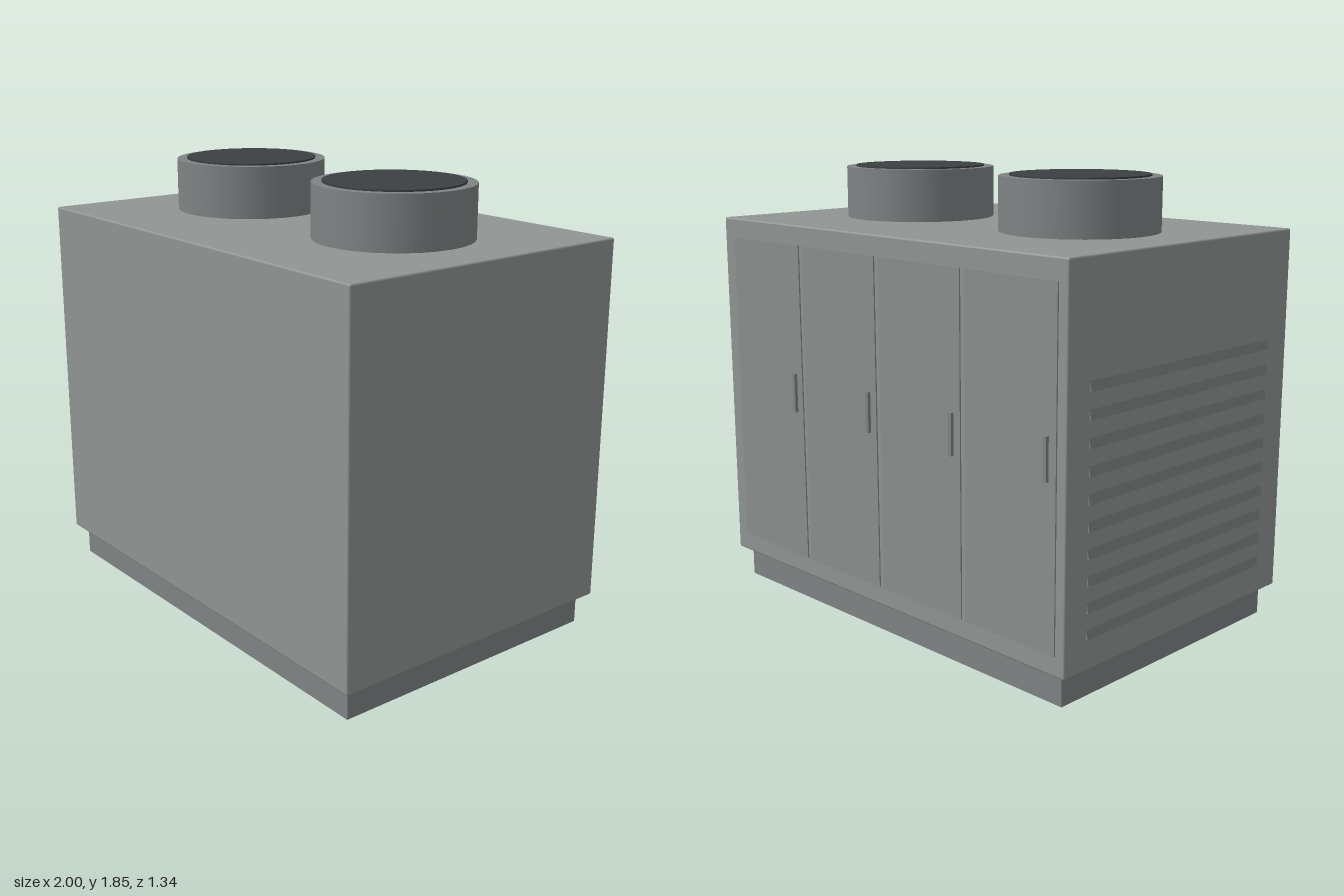
import * as THREE from 'three';
import { RoundedBoxGeometry } from 'three/addons/geometries/RoundedBoxGeometry.js';

export function createModel() {
  const model = new THREE.Group();
  model.name = 'ventilationCabinet';

  const paint = (color) => new THREE.MeshStandardMaterial({ color });
  const bodyPaint = paint(0x909594);
  const doorPaint = paint(0x8a8f8e);
  const trimPaint = paint(0x7f8484);
  const darkPaint = paint(0x3c4042);

  const add = (parent, name, geometry, material, x, y, z) => {
    const mesh = new THREE.Mesh(geometry, material);
    mesh.name = name;
    mesh.position.set(x, y, z);
    parent.add(mesh);
    return mesh;
  };
  const group = (name) => {
    const g = new THREE.Group();
    g.name = name;
    model.add(g);
    return g;
  };

  // Plinth and main housing
  const cx = 0.003, cz = 0.009;
  add(model, 'plinth', new THREE.BoxGeometry(1.9, 0.13, 1.24), trimPaint, cx, 0.065, cz);
  add(model, 'housing', new RoundedBoxGeometry(1.993, 1.5, 1.322, 2, 0.008), bodyPaint, cx, 0.88, cz);

  // Two roof fans: a collar with a dark disc standing just proud of it
  const collar = new THREE.CylinderGeometry(0.318, 0.318, 0.225, 32);
  const disc = new THREE.CylinderGeometry(0.277, 0.277, 0.02, 32);
  for (const side of [-1, 1]) {
    const fan = group(side < 0 ? 'rightFan' : 'leftFan');
    fan.position.set(cx + side * 0.463, 0, cz - 0.002);
    add(fan, 'collar', collar, trimPaint, 0, 1.7325, 0);
    add(fan, 'fanDisc', disc, darkPaint, 0, 1.842, 0);
  }

  // Four service doors with pull handles on the back
  const panel = new THREE.BoxGeometry(0.45, 1.34, 0.014);
  const handle = new THREE.BoxGeometry(0.016, 0.165, 0.022);
  for (let i = 0; i < 4; i++) {
    const door = group('door' + (i + 1));
    door.position.x = -0.725 + i * 0.475;
    add(door, 'doorPanel', panel, doorPaint, 0, 0.88, -0.651);
    add(door, 'handle', handle, trimPaint, -0.183, 0.93, -0.66);
  }

  // Tilted louvre slats on the right side, lower edge outward
  const louvres = group('louvres');
  const slat = new THREE.BoxGeometry(0.008, 0.06, 1.07);
  for (let i = 0; i < 10; i++) {
    const mesh = add(louvres, 'slat', slat, trimPaint, -0.991, 0.28 + i * 0.101, 0);
    mesh.rotation.z = -0.17;
  }

  return model;
}
